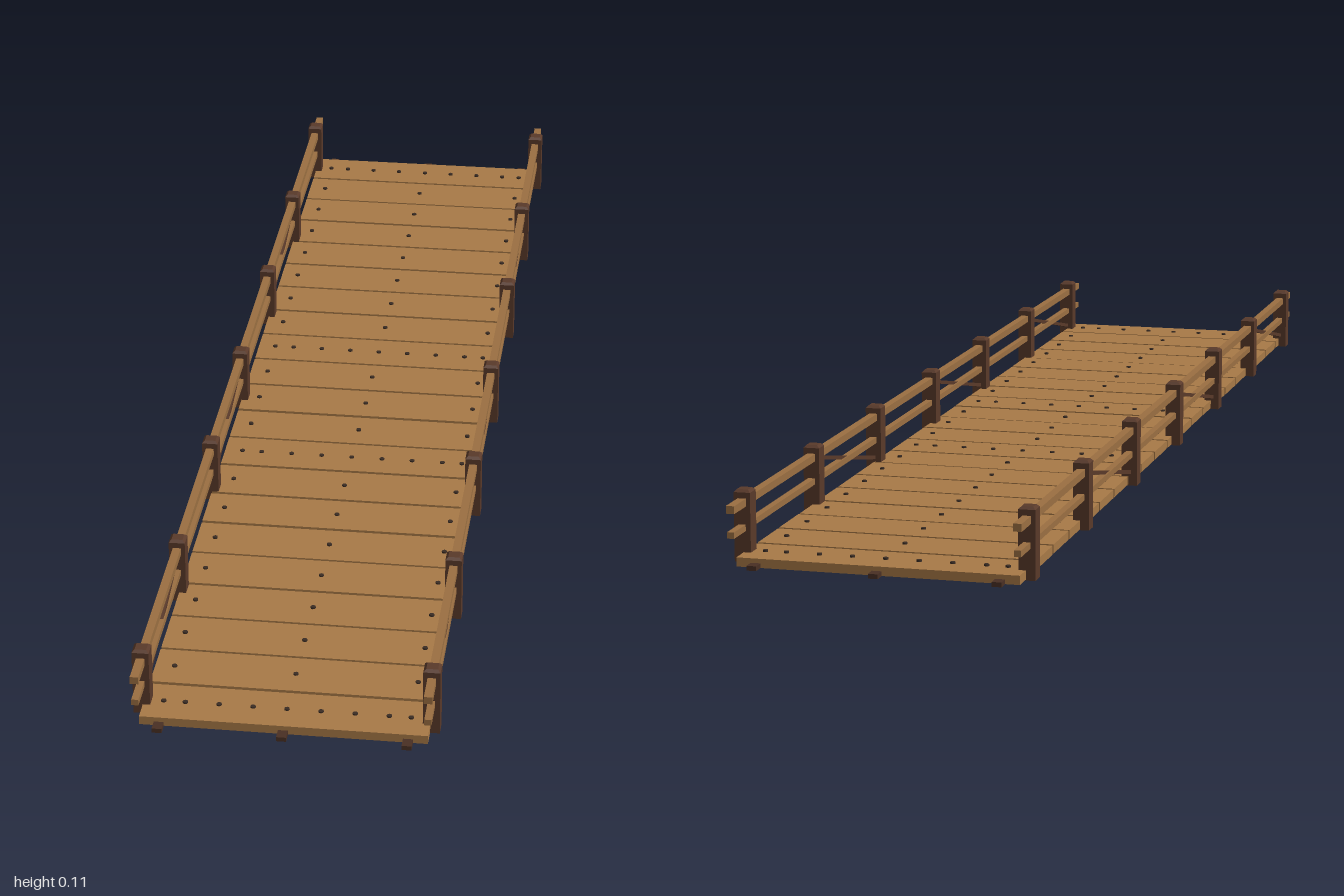
import * as THREE from 'three';

const paint = (name, color) => {
  const m = new THREE.MeshStandardMaterial({ color });
  m.name = name;
  return m;
};

export function createModel() {
  const bridge = new THREE.Group();
  bridge.name = 'footbridge';

  const plankWood = paint('plank wood', 0xa97a47);
  const railWood = paint('rail wood', 0x9c7042);
  const postWood = paint('post wood', 0x5a3a2a);
  const beamWood = paint('beam wood', 0x4a3024);
  const iron = paint('iron', 0x3a2c24);

  const add = (name, geometry, material, x, y, z) => {
    const mesh = new THREE.Mesh(geometry, material);
    mesh.name = name;
    mesh.position.set(x, y, z);
    bridge.add(mesh);
    return mesh;
  };
  const box = (name, material, w, h, d, x, y, z) =>
    add(name, new THREE.BoxGeometry(w, h, d), material, x, y, z);

  let seed = 7;
  const rand = () => (seed = (seed * 16807) % 2147483647) / 2147483647;

  // Deck planks with small gaps and slightly uneven heights, nailed to the stringers
  const count = 21, pitch = 0.0938;
  const nailShape = new THREE.CylinderGeometry(0.004, 0.004, 0.003, 8);
  for (let i = 0; i < count; i++) {
    const z = (i - (count - 1) / 2) * pitch;
    const lift = (rand() - 0.5) * 0.0008;
    box('plank', plankWood, 0.422, 0.0135, pitch - 0.004 - rand() * 0.003, 0, 0.0083 + lift, z);
    const extra = [0, 8, 12, 20].includes(i) ? [0.05, 0.1, 0.15] : [];
    for (const x of [0, 0.182, ...extra])
      for (const s of x ? [-1, 1] : [1]) add('nail', nailShape, iron, s * x, 0.016, z);
  }

  // Lengthwise stringers, poking out at both ends
  for (const x of [-0.182, 0, 0.182])
    box('stringer', beamWood, 0.0145, 0.007, 2, x, 0.0045, 0);

  // Posts with bevelled tops, joined by a cross beam under the deck
  const postZ = [-3, -2, -1, 0, 1, 2, 3].map((i) => i * 0.3125);
  const capShape = new THREE.CylinderGeometry(0.0085 * Math.SQRT2, 0.0125 * Math.SQRT2, 0.004, 4, 1)
    .rotateY(Math.PI / 4).toNonIndexed();
  capShape.computeVertexNormals();
  for (const z of postZ) {
    box('crossBeam', beamWood, 0.425, 0.004, 0.016, 0, 0.002, z);
    for (const s of [-1, 1]) {
      box('post', postWood, 0.025, 0.103, 0.025, s * 0.2125, 0.0515, z);
      add('postCap', capShape, postWood, s * 0.2125, 0.105, z);
    }
  }

  for (const s of [-1, 1]) {
    const x = s * 0.2125;
    // Handrail and middle rail
    box('topRail', railWood, 0.0125, 0.0115, 2, x, 0.0885, 0);
    box('middleRail', railWood, 0.0105, 0.0095, 2, x, 0.051, 0);

    // Diagonal braces in every second bay
    for (const i of [1, 3, 5]) {
      const a = new THREE.Vector3(x, 0.083, postZ[i] + 0.012);
      const b = new THREE.Vector3(x, 0.022, postZ[i + 1] - 0.012);
      const mid = a.clone().add(b).multiplyScalar(0.5);
      const brace = box('brace', postWood, 0.006, 0.006, a.distanceTo(b) + 0.01, mid.x, mid.y, mid.z);
      brace.lookAt(b);
    }
  }

  return bridge;
}
